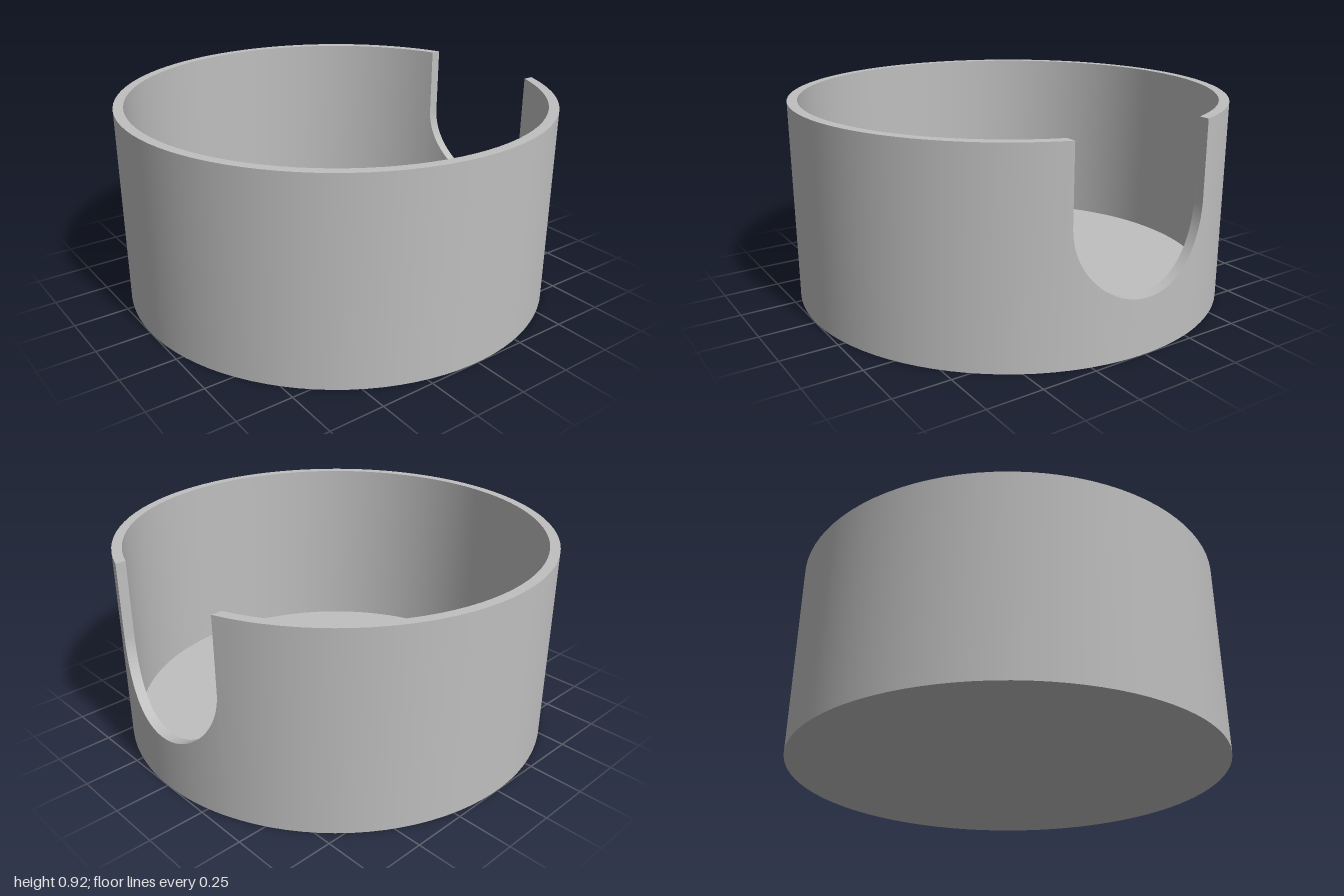
import * as THREE from 'three';
import { toCreasedNormals } from 'three/addons/utils/BufferGeometryUtils.js';

const OUTER = 1, INNER = 0.955, HEIGHT = 0.915, FLOOR = 0.046;
const NOTCH_R = 0.334, NOTCH_Y = 0.581; // U-shaped notch cut straight through the +x side

// Columns round the wall at one radius; each has a direction and the height of its top edge
function wallColumns(radius) {
  const columns = [];
  const add = (angle, top) => columns.push({ x: radius * Math.cos(angle), z: radius * Math.sin(angle), top });
  const edge = Math.asin(NOTCH_R / radius);
  const arcSteps = 40, wallSteps = 84;
  // rounded bottom of the notch
  for (let i = 0; i <= arcSteps; i++) {
    const t = (i / arcSteps - 0.5) * Math.PI;
    add(Math.asin(NOTCH_R * Math.sin(t) / radius), NOTCH_Y - NOTCH_R * Math.cos(t));
  }
  // full-height wall, from one side of the notch round to the other
  for (let i = 0; i <= wallSteps; i++) {
    add(edge + (2 * Math.PI - 2 * edge) * i / wallSteps, HEIGHT);
  }
  columns.push(columns[0]);
  return columns;
}

// Surface between two loops of points, leaving out empty triangles
function strip(loopA, loopB) {
  const positions = [];
  const triangle = (a, b, c) => {
    const area = b.clone().sub(a).cross(c.clone().sub(a)).length();
    if (area > 1e-8) for (const p of [a, b, c]) positions.push(p.x, p.y, p.z);
  };
  for (let i = 0; i < loopA.length - 1; i++) {
    triangle(loopA[i], loopB[i], loopA[i + 1]);
    triangle(loopB[i], loopB[i + 1], loopA[i + 1]);
  }
  const geometry = new THREE.BufferGeometry();
  geometry.setAttribute('position', new THREE.Float32BufferAttribute(positions, 3));
  return toCreasedNormals(geometry, Math.PI / 6);
}

export function createModel() {
  const model = new THREE.Group();
  model.name = 'notchedCup';
  const grey = new THREE.MeshStandardMaterial({ color: 0xbfbfbf });
  grey.name = 'grey';

  const outer = wallColumns(OUTER), inner = wallColumns(INNER);
  const level = (columns, y) => columns.map(c => new THREE.Vector3(c.x, y, c.z));
  const tops = columns => columns.map(c => new THREE.Vector3(c.x, c.top, c.z));
  const centre = y => outer.map(() => new THREE.Vector3(0, y, 0));

  // Loops run from the middle of the underside, up and over the wall, to the middle of the floor
  const loops = [
    centre(0), level(outer, 0), tops(outer), tops(inner), level(inner, FLOOR), centre(FLOOR),
  ];
  ['base', 'outerWall', 'rimAndNotchEdge', 'innerWall', 'floor'].forEach((name, i) => {
    const mesh = new THREE.Mesh(strip(loops[i], loops[i + 1]), grey);
    mesh.name = name;
    model.add(mesh);
  });
  return model;
}
